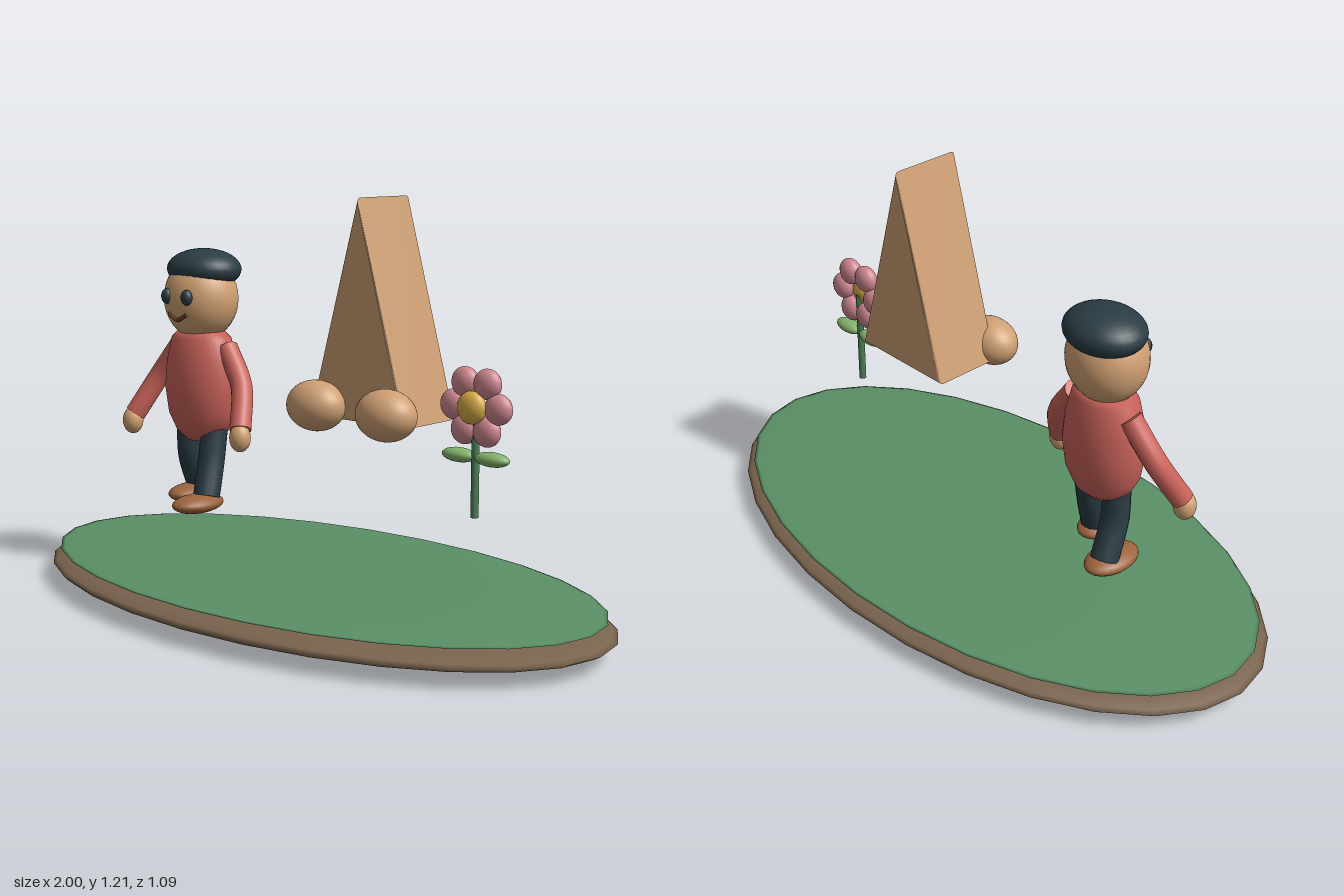
import * as THREE from 'three';

const mat = (color) => new THREE.MeshStandardMaterial({ color });
const M = {
  soil: mat(0x7a644e), grass: mat(0x5a9066), skin: mat(0xd2a273), shirt: mat(0xc9625a),
  dark: mat(0x2a3c44), shoe: mat(0x9c643c), mouth: mat(0x6b3f2c), tan: mat(0xcfa074),
  petal: mat(0xcf8890), yellow: mat(0xd8ac48), stem: mat(0x4c8058), leaf: mat(0x86b46c),
};
const V = (a) => new THREE.Vector3(...a);

function add(parent, name, geometry, material, pos = [0, 0, 0]) {
  const mesh = new THREE.Mesh(geometry, material);
  mesh.name = name;
  mesh.position.set(...pos);
  parent.add(mesh);
  return mesh;
}

function ellipsoid(parent, name, material, pos, radii, ws = 28, hs = 18) {
  const geometry = new THREE.SphereGeometry(1, ws, hs).scale(...radii);
  return add(parent, name, geometry, material, pos);
}

// Round limb along a smooth path, closed with a disc at each end
function limb(parent, name, material, points, radius) {
  const curve = new THREE.CatmullRomCurve3(points.map(V));
  const mesh = add(parent, name, new THREE.TubeGeometry(curve, 18, radius, 16), material);
  for (const t of [0, 1]) {
    const cap = add(mesh, name + 'Cap', new THREE.CircleGeometry(radius, 16), material);
    cap.position.copy(curve.getPoint(t));
    const out = curve.getTangent(t).multiplyScalar(t ? 1 : -1);
    cap.quaternion.setFromUnitVectors(new THREE.Vector3(0, 0, 1), out);
  }
  return mesh;
}

function createFigure() {
  const g = new THREE.Group();
  g.name = 'figure';
  g.position.x = -0.46;

  // Head, cap and face
  ellipsoid(g, 'head', M.skin, [0, 0.885, 0], [0.119, 0.13, 0.11]);
  ellipsoid(g, 'cap', M.dark, [0, 0.973, -0.014], [0.122, 0.063, 0.106]);
  for (const s of [-1, 1]) {
    ellipsoid(g, 'eye', M.dark, [s * 0.043, 0.895, 0.102], [0.019, 0.024, 0.017], 16, 12);
  }
  const smile = [[-0.037, 0.842, 0.099], [0, 0.825, 0.102], [0.037, 0.842, 0.099]];
  limb(g, 'mouth', M.mouth, smile, 0.006);

  // Torso: rounded belly, narrower shoulders
  const profile = [[0, 0.435], [0.05, 0.445], [0.09, 0.475], [0.118, 0.53], [0.13, 0.61],
    [0.123, 0.69], [0.104, 0.765], [0.08, 0.785], [0, 0.792]];
  const torso = new THREE.LatheGeometry(profile.map((p) => new THREE.Vector2(...p)), 32);
  add(g, 'torso', torso.scale(1, 1, 0.75), M.shirt);

  for (const s of [-1, 1]) {
    // Arm and hand
    limb(g, 'arm', M.shirt, [[s * 0.1, 0.74, -0.01], [s * 0.18, 0.63, 0.01], [s * 0.232, 0.51, 0.068]], 0.033);
    ellipsoid(g, 'hand', M.skin, [s * 0.237, 0.488, 0.075], [0.033, 0.043, 0.032], 20, 14);

    // Walking legs: the left one steps forward
    const ankleZ = s > 0 ? 0.055 : -0.055;
    const kneeZ = s > 0 ? 0.022 : -0.008;
    limb(g, 'leg', M.dark, [[s * 0.055, 0.5, 0], [s * 0.06, 0.39, kneeZ], [s * 0.071, 0.283, ankleZ]], 0.041);
    ellipsoid(g, 'shoe', M.shoe, [s * 0.067, 0.266, s > 0 ? 0.088 : -0.022], [0.06, 0.029, 0.093], 24, 14);
  }
  return g;
}

function createWedge() {
  const g = new THREE.Group();
  g.name = 'wedge';
  g.position.x = 0.263;

  // Triangular prism with lightly bevelled ends
  const shape = new THREE.Shape();
  shape.moveTo(-0.175, 0.597).lineTo(0.175, 0.597).lineTo(0, 1.212).closePath();
  const body = new THREE.ExtrudeGeometry(shape, {
    depth: 0.2, bevelThickness: 0.01, bevelSize: 0.01, bevelOffset: -0.01, bevelSegments: 3,
  });
  add(g, 'wedgeBody', body.translate(0, 0, -0.1), M.tan);
  for (const s of [-1, 1]) {
    ellipsoid(g, 'wedgeBall', M.tan, [s * 0.127, 0.633, 0.135], [0.093, 0.072, 0.072]);
  }
  return g;
}

function createFlower() {
  const g = new THREE.Group();
  g.name = 'flower';
  g.position.set(0.59, 0.663, 0);
  add(g, 'stem', new THREE.CylinderGeometry(0.011, 0.011, 0.3, 14), M.stem, [0, -0.153, 0]);
  for (const s of [-1, 1]) {
    ellipsoid(g, 'leaf', M.leaf, [s * 0.055, -0.137, 0], [0.055, 0.02, 0.028], 20, 12);
  }
  for (let i = 0; i < 6; i++) {
    const a = (i * Math.PI) / 3;
    ellipsoid(g, 'petal', M.petal, [0.074 * Math.cos(a), 0.074 * Math.sin(a), 0], [0.042, 0.042, 0.029], 20, 14);
  }
  ellipsoid(g, 'flowerCentre', M.yellow, [0, 0, 0.02], [0.045, 0.045, 0.028], 20, 14);
  return g;
}

export function createModel() {
  const model = new THREE.Group();
  model.name = 'scene';

  // Oval island: soil underneath, grass on top
  ellipsoid(model, 'soil', M.soil, [0, 0.058, 0], [1, 0.056, 0.545]);
  ellipsoid(model, 'grass', M.grass, [0, 0.105, 0], [0.97, 0.015, 0.525]);

  model.add(createFigure(), createWedge(), createFlower());
  return model;
}
